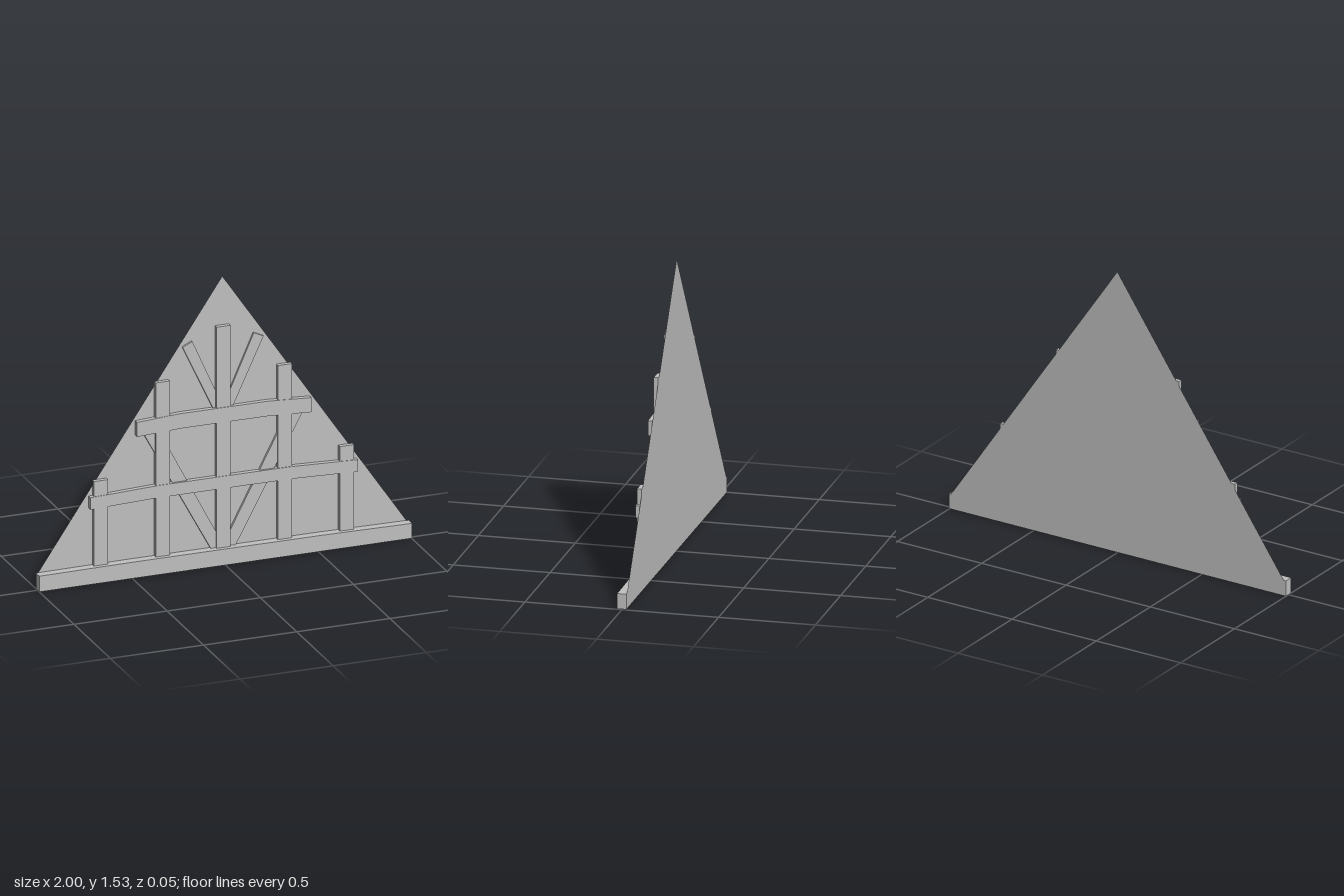
import * as THREE from 'three';

const BACK = -0.0235;

export function createModel() {
  const group = new THREE.Group();
  const grey = new THREE.MeshStandardMaterial({ color: 0xc0c0c0 });
  grey.name = 'light grey';
  const sheetGrey = grey;
  sheetGrey.side = THREE.DoubleSide;

  // Timber outlined in x/y, standing off the panel up to the given z
  function timber(name, points, front) {
    const shape = new THREE.Shape(points.map(([x, y]) => new THREE.Vector2(x, y)));
    const geometry = new THREE.ExtrudeGeometry(shape, { depth: front - BACK, bevelEnabled: false });
    const mesh = new THREE.Mesh(geometry, grey);
    mesh.position.z = BACK;
    mesh.name = name;
    group.add(mesh);
  }
  const post = (name, x0, x1, top) =>
    timber(name, [[x0, 0.08], [x1, 0.08], [x1, top], [x0, top]], 0);

  // Thin triangular gable panel
  const gable = new THREE.Shape([
    new THREE.Vector2(-0.997, 0.005), new THREE.Vector2(0.997, 0.005),
    new THREE.Vector2(0.997, 0.07), new THREE.Vector2(0, 1.535), new THREE.Vector2(-0.997, 0.07),
  ]);
  const panel = new THREE.Mesh(new THREE.ShapeGeometry(gable), sheetGrey);
  panel.position.z = -0.024;
  panel.name = 'gablePanel';
  group.add(panel);

  // Base beam
  timber('baseBeam', [[-1, 0], [1, 0.003], [1, 0.083], [0.5, 0.088], [-0.5, 0.088], [-1, 0.084]], 0.024);

  // Upright posts
  post('centrePost', -0.04, 0.035, 1.275);
  for (const s of [-1, 1]) {
    const side = s > 0 ? 'left' : 'right';
    const span = (a, b) => [Math.min(s * a, s * b), Math.max(s * a, s * b)];
    post(side + 'InnerPost', ...span(0.29, 0.365), 1.022);
    post(side + 'OuterPost', ...span(0.622, 0.697), 0.54);

    // Slanted braces below and above the upper rail
    timber(side + 'LowerBrace', [[0.43, 0.76], [0.345, 0.76], [0, 0.1], [0.065, 0.085]].map(([x, y]) => [s * x, y]), -0.01);
    timber(side + 'UpperBrace', [[0.217, 1.187], [0.165, 1.212], [0, 0.84], [0.055, 0.84]].map(([x, y]) => [s * x, y]), -0.012);
  }

  // Slightly bowed rails
  const rail = (name, half, y0, y1) => timber(name, [
    [-half, y0], [-half * 0.5, y0 + 0.012], [half * 0.5, y0 + 0.012], [half, y0],
    [half, y1], [half * 0.5, y1 + 0.014], [-half * 0.5, y1 + 0.014], [-half, y1],
  ], 0.003);
  rail('upperRail', 0.467, 0.748, 0.826);
  rail('lowerRail', 0.717, 0.393, 0.457);

  return group;
}
